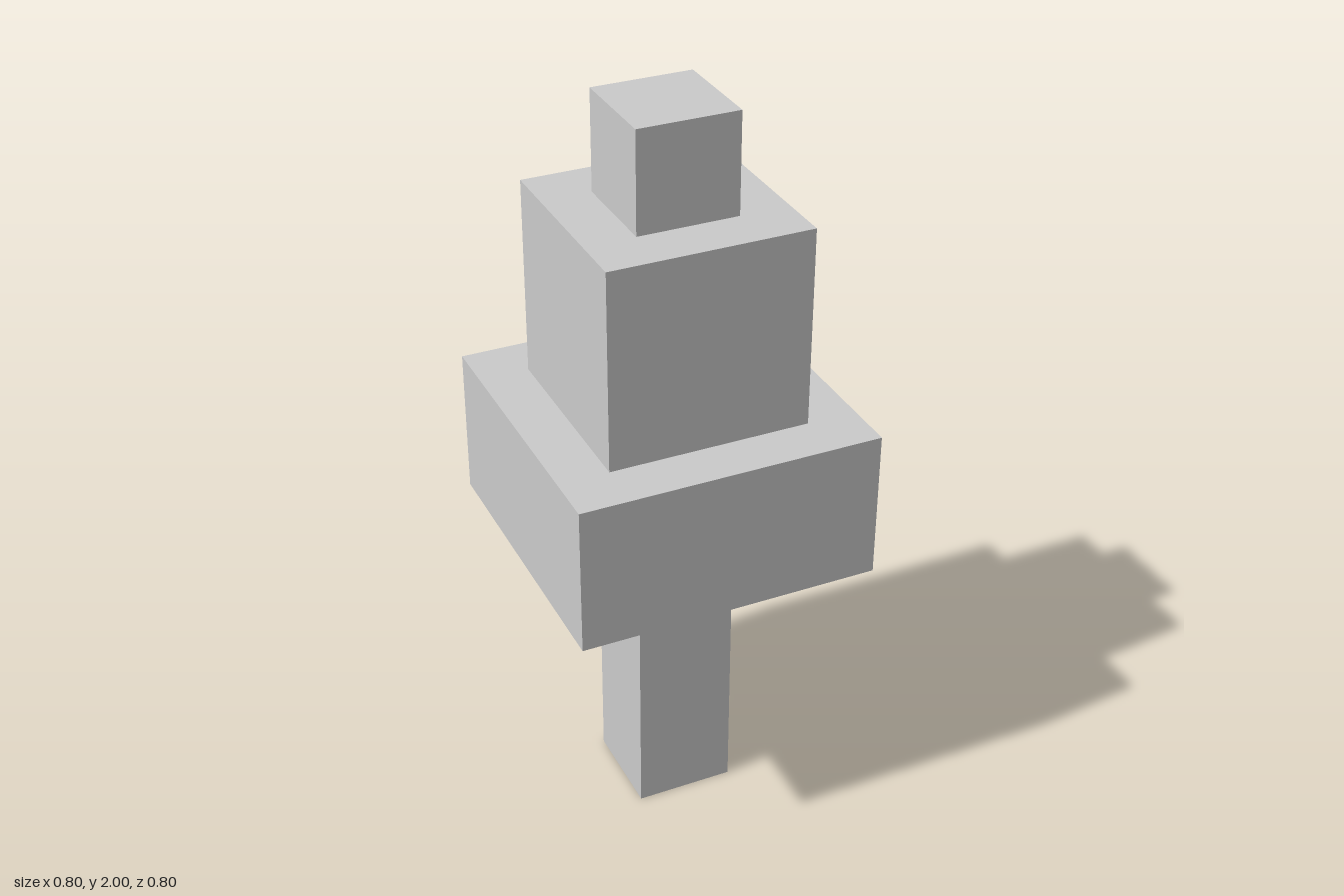
import * as THREE from 'three';

// Stacked square tiers of a blocky tree: name, width, bottom, top
const TIERS = [
  ['trunk', 0.2667, 0, 0.8],
  ['lowerFoliage', 0.8, 0.8, 1.2],
  ['middleFoliage', 0.5333, 1.2, 1.7333],
  ['treeTop', 0.2667, 1.7333, 2],
];

export function createModel() {
  const tree = new THREE.Group();
  tree.name = 'tree';
  const material = new THREE.MeshStandardMaterial({ color: 0xcccccc, flatShading: true });

  for (const [name, width, bottom, top] of TIERS) {
    const tier = new THREE.Mesh(new THREE.BoxGeometry(width, top - bottom, width), material);
    tier.name = name;
    tier.position.y = (bottom + top) / 2;
    tree.add(tier);
  }
  return tree;
}
